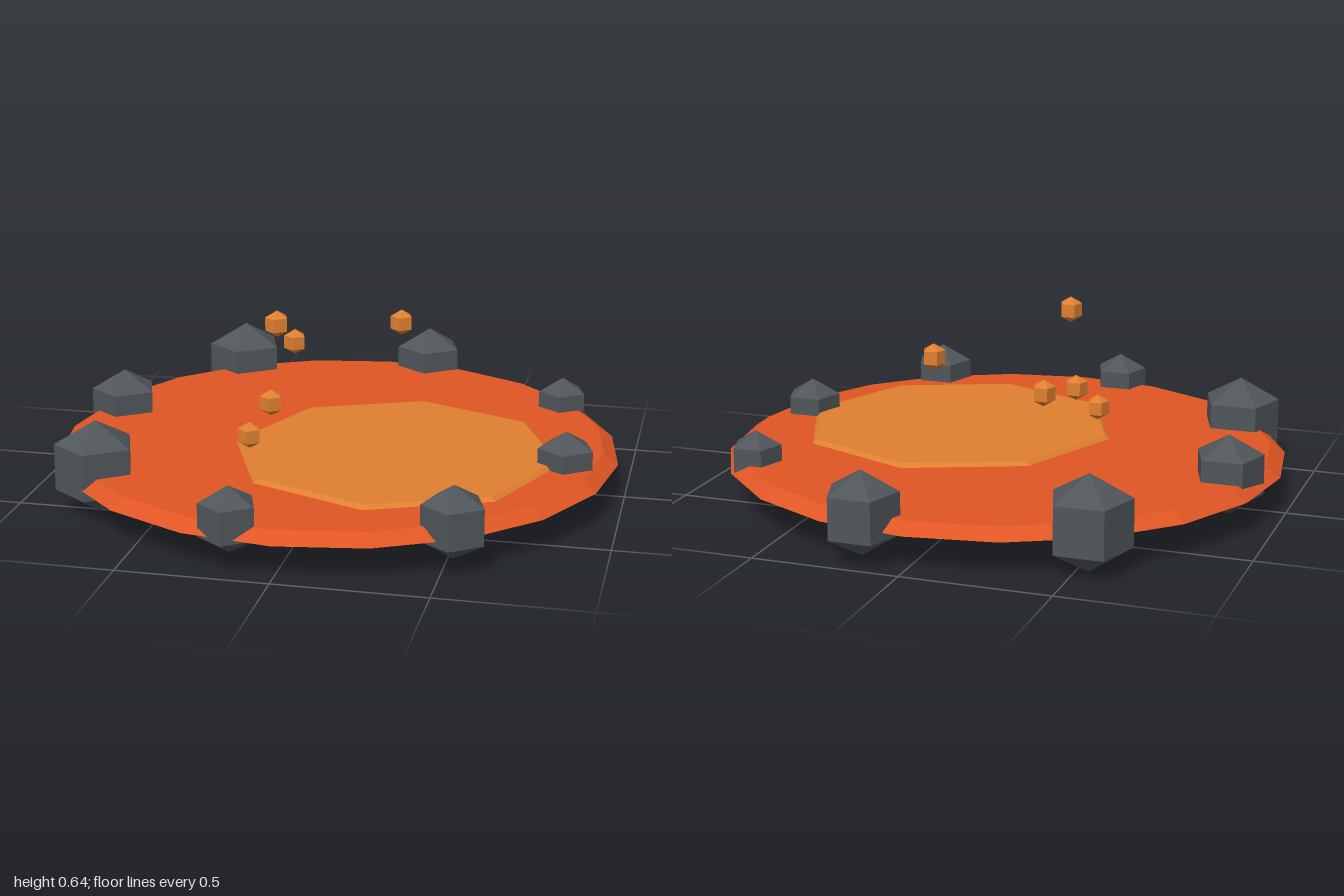
import * as THREE from 'three';

const material = (name, color) => {
  const m = new THREE.MeshStandardMaterial({ color, flatShading: true });
  m.name = name;
  return m;
};

export function createModel() {
  const model = new THREE.Group();
  model.name = 'lavaPool';

  const lava = material('lava red', 0xe05624);
  const glow = material('glowing orange', 0xe08030);
  const stone = material('dark stone', 0x50565a);

  const add = (name, geometry, mat, x, y, z) => {
    const mesh = new THREE.Mesh(geometry, mat);
    mesh.name = name;
    mesh.position.set(x, y, z);
    model.add(mesh);
    return mesh;
  };

  // Five-sided pebble: pointed top and bottom, upright sides, one corner to the front
  const pebble = (r) => new THREE.SphereGeometry(r, 5, 3).rotateY(Math.PI / 2);

  // Molten disc with a bevelled rim, and the hotter patch lying on it
  add('lavaDisc', new THREE.CylinderGeometry(0.925, 0.975, 0.035, 20), lava, 0, 0.1385, 0.011);
  add('hotPatch', new THREE.CylinderGeometry(0.548, 0.583, 0.03, 8), glow, 0.23, 0.154, 0.149);

  // Ring of rocks: x, z, radius
  const rocks = [
    [-0.54, -0.762, 0.16], [0.16, -0.906, 0.141], [0.725, -0.495, 0.1], [0.81, 0.152, 0.112],
    [0.532, 0.768, 0.122], [-0.157, 0.894, 0.111], [-0.718, 0.513, 0.16], [-0.829, -0.136, 0.137],
  ];
  rocks.forEach(([x, z, r], i) => add(`rock${i + 1}`, pebble(r), stone, x, 0.163, z));

  // Embers drifting above the pool: x, y, z
  const embers = [
    [-0.172, 0.602, 0.197], [0.171, 0.508, -0.248], [-0.218, 0.414, -0.242],
    [-0.196, 0.321, 0.192], [-0.25, 0.23, 0.283],
  ];
  embers.forEach(([x, y, z], i) => add(`ember${i + 1}`, pebble(0.046), glow, x, y, z));

  return model;
}
